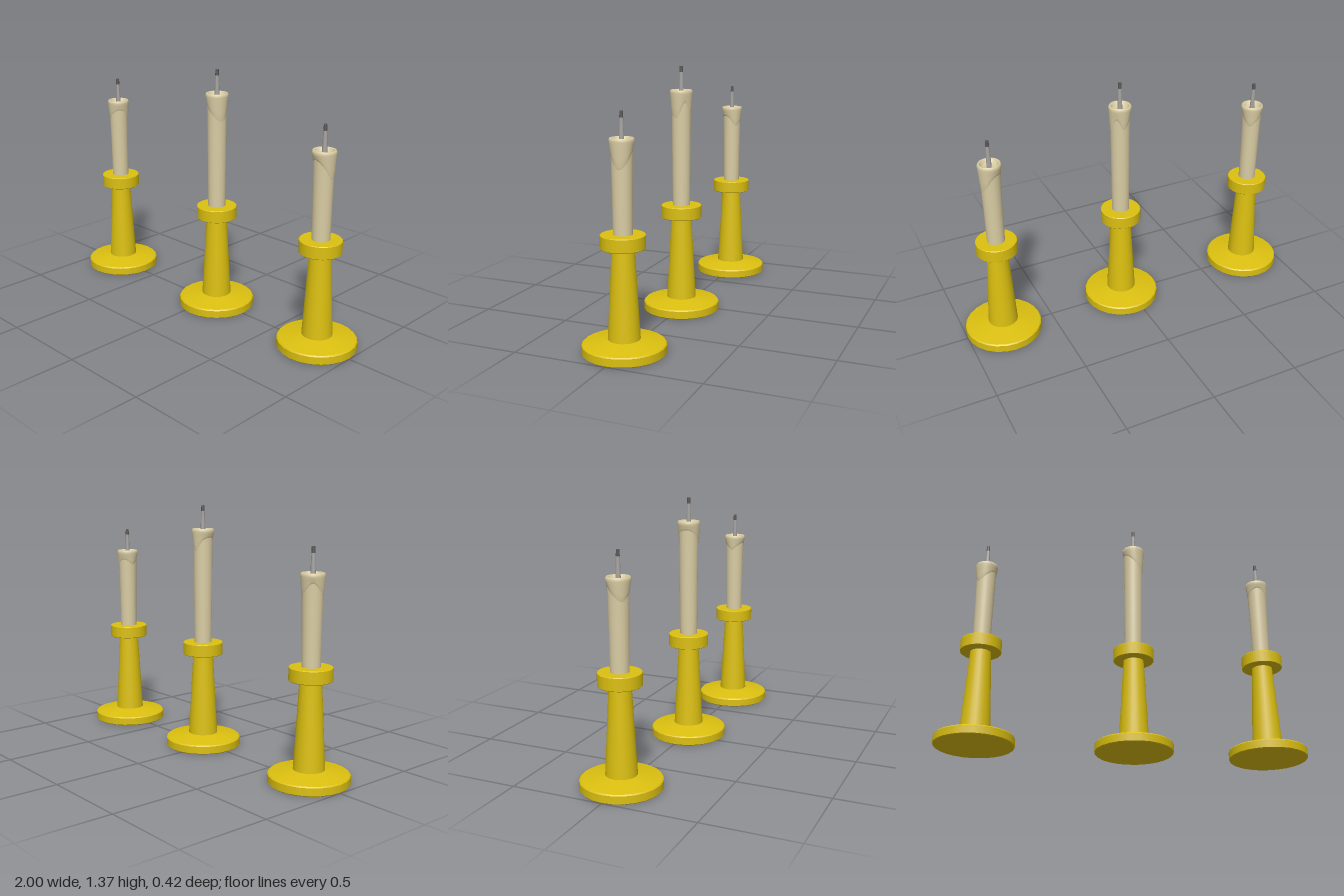
import * as THREE from 'three';
import { mergeGeometries } from 'three/addons/utils/BufferGeometryUtils.js';

const mat = (name, color) => new THREE.MeshStandardMaterial({ name, color });
const V = (list) => list.map(([r, y]) => new THREE.Vector2(r, y));

// Turned form with a hard edge at every profile point
function turned(profile, sides) {
  const pts = V(profile);
  return mergeGeometries(pts.slice(1).map((p, i) => new THREE.LatheGeometry([pts[i], p], sides)));
}

function add(parent, name, geometry, material) {
  const mesh = new THREE.Mesh(geometry, material);
  mesh.name = name;
  parent.add(mesh);
}

// Smooth closed loop through evenly spaced values, u in 0..1
function loopValue(values, u) {
  const n = values.length, f = (((u % 1) + 1) % 1) * n, i = Math.floor(f), t = f - i;
  const [a, b, c, d] = [-1, 0, 1, 2].map((k) => values[(i + k + n) % n]);
  return b + 0.5 * t * (c - a + t * (2 * a - 5 * b + 4 * c - d + t * (3 * (b - c) + d - a)));
}

// Melted wax collar: the lower rows follow a wavy drip line, the top folds into a bowl
function waxCollar(top, drips) {
  const rows = [
    [0.05, -0.1], [0.0545, -0.095], [0.057, -0.07], [0.06, -0.04], [0.0625, -0.018], [0.062, -0.008],
    [0.058, -0.001], [0.053, 0], [0.047, -0.004], [0.043, -0.015], [0.034, -0.022], [0, -0.024],
  ];
  const geo = new THREE.LatheGeometry(V(rows), 40);
  const p = geo.attributes.position;
  for (let i = 0; i < p.count; i++) {
    const [, y] = rows[i % rows.length];
    const u = Math.floor(i / rows.length) / 40; // from +z towards +x
    const drop = loopValue(drips, 0.25 - u); // drips run from +x towards +z
    p.setY(i, top + (y < -0.03 ? -0.02 + (y + 0.02) * (drop - 0.02) / 0.08 : y));
  }
  geo.computeVertexNormals();
  // Match the normals across the seam
  const n = geo.attributes.normal, last = p.count - rows.length;
  for (let j = 0; j < rows.length; j++) {
    const s = new THREE.Vector3().fromBufferAttribute(n, j)
      .add(new THREE.Vector3().fromBufferAttribute(n, last + j)).normalize();
    n.setXYZ(j, s.x, s.y, s.z);
    n.setXYZ(last + j, s.x, s.y, s.z);
  }
  return geo;
}

export function createModel() {
  const brass = mat('yellow brass', 0xdcc010);
  const wax = mat('cream wax', 0xdacda4);
  const wick = mat('grey wick', 0xaaa6a2);
  const char = mat('charred wick', 0x5c5a5a);

  // Position, candle top, and drip lengths around the collar starting at +x
  const candles = [
    { name: 'rightCandlestick', x: -0.788, top: 1.07, drips: [0.07, 0.06, 0.09, 0.12, 0.09, 0.05, 0.09, 0.12] },
    { name: 'middleCandlestick', x: 0.052, top: 1.24, drips: [0.15, 0.14, 0.1, 0.06, 0.05, 0.07, 0.13, 0.07] },
    { name: 'leftCandlestick', x: 0.788, top: 1.07, drips: [0.15, 0.09, 0.05, 0.06, 0.09, 0.06, 0.07, 0.13] },
  ];

  const model = new THREE.Group();
  for (const { name, x, top, drips } of candles) {
    const stick = new THREE.Group();
    stick.name = name;
    stick.position.x = x;

    // Holder
    add(stick, 'base', turned([[0, 0], [0.208, 0], [0.212, 0.004], [0.212, 0.044], [0.206, 0.05], [0.08, 0.071]], 24), brass);
    add(stick, 'stem', turned([[0.082, 0.065], [0.056, 0.535]], 24), brass);
    add(stick, 'cup', turned([[0.05, 0.53], [0.109, 0.53], [0.112, 0.533], [0.112, 0.597], [0.109, 0.6], [0, 0.6]], 24), brass);

    // Candle
    add(stick, 'candleBody', new THREE.LatheGeometry(V([[0.048, 0.59], [0.05, 0.8], [0.053, top - 0.1], [0.055, top - 0.03]]), 32), wax);
    add(stick, 'meltedWax', waxCollar(top, drips), wax);

    // Wick
    add(stick, 'wick', turned([[0.014, top - 0.03], [0.01, top + 0.095]], 8), wick);
    add(stick, 'wickTip', turned([[0.01, top + 0.095], [0.009, top + 0.127], [0, top + 0.128]], 8), char);
    model.add(stick);
  }
  return model;
}
